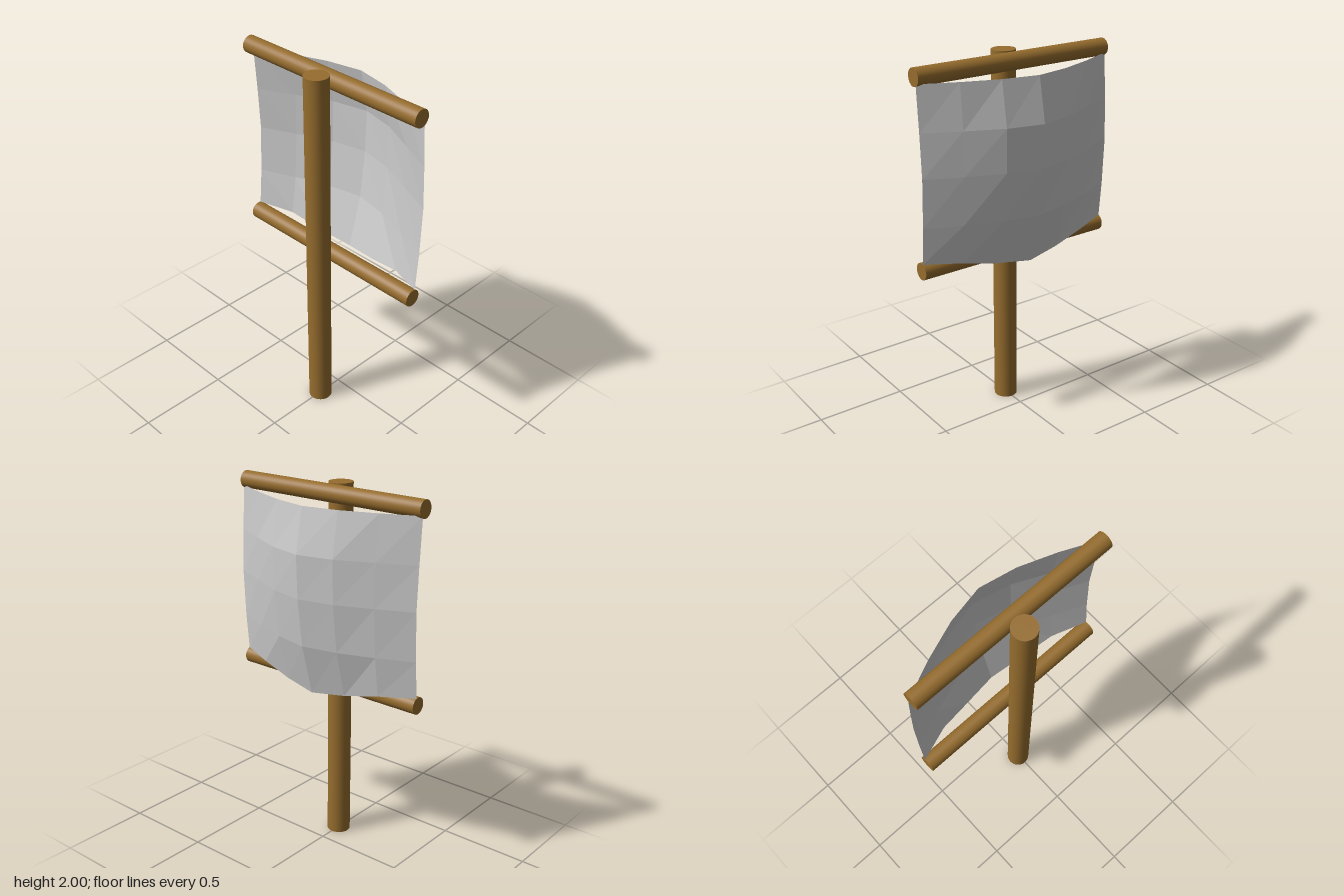
import * as THREE from 'three';

export function createModel() {
  const model = new THREE.Group();
  const wood = new THREE.MeshStandardMaterial({ color: 0x966d2e });
  const cloth = new THREE.MeshStandardMaterial({ color: 0xcccccc, flatShading: true, side: THREE.DoubleSide });

  const add = (name, geometry, material) => {
    const mesh = new THREE.Mesh(geometry, material);
    mesh.name = name;
    model.add(mesh);
    return mesh;
  };

  // Upright mast
  add('mast', new THREE.CylinderGeometry(0.064, 0.064, 2, 32), wood).position.set(-0.143, 1, 0);

  // Two cross spars running along z
  for (const [name, y] of [['upperYard', 1.954], ['lowerYard', 0.957]]) {
    const yard = add(name, new THREE.CylinderGeometry(0.046, 0.046, 1.154, 32), wood);
    yard.rotation.x = Math.PI / 2;
    yard.position.set(-0.055, y, 0);
  }

  // Billowing sail: each row gives height, x at the side edge, x at the middle,
  // and how far the billow has grown at the two columns between them
  const rows = [
    { y: 1.925, edge: -0.035, mid: 0.16, grow: [0, 0.44, 0.8, 1] },
    { y: 1.69, edge: -0.02, mid: 0.205, grow: [0, 0.41, 0.8, 1] },
    { y: 1.46, edge: -0.01, mid: 0.197, grow: [0, 0.41, 0.8, 1] },
    { y: 1.2, edge: -0.022, mid: 0.165, grow: [0, 0.43, 0.79, 1] },
    { y: 1.0, edge: -0.04, mid: 0.09, grow: [0, 0.54, 0.78, 1] },
  ];
  const columnZ = [0.577, 0.387, 0.195, 0];
  const footDrop = [0, 0.016, 0.056, 0.08];

  const sail = new THREE.PlaneGeometry(1, 1, 6, 4);
  const position = sail.attributes.position;
  for (let r = 0; r <= 4; r++) {
    for (let c = 0; c <= 6; c++) {
      const k = 3 - Math.abs(c - 3);
      const { y, edge, mid, grow } = rows[r];
      position.setXYZ(
        r * 7 + c,
        edge + (mid - edge) * grow[k],
        y - (r === 4 ? footDrop[k] : 0),
        Math.sign(3 - c) * columnZ[k],
      );
    }
  }
  sail.computeVertexNormals();
  add('sail', sail, cloth);

  return model;
}
